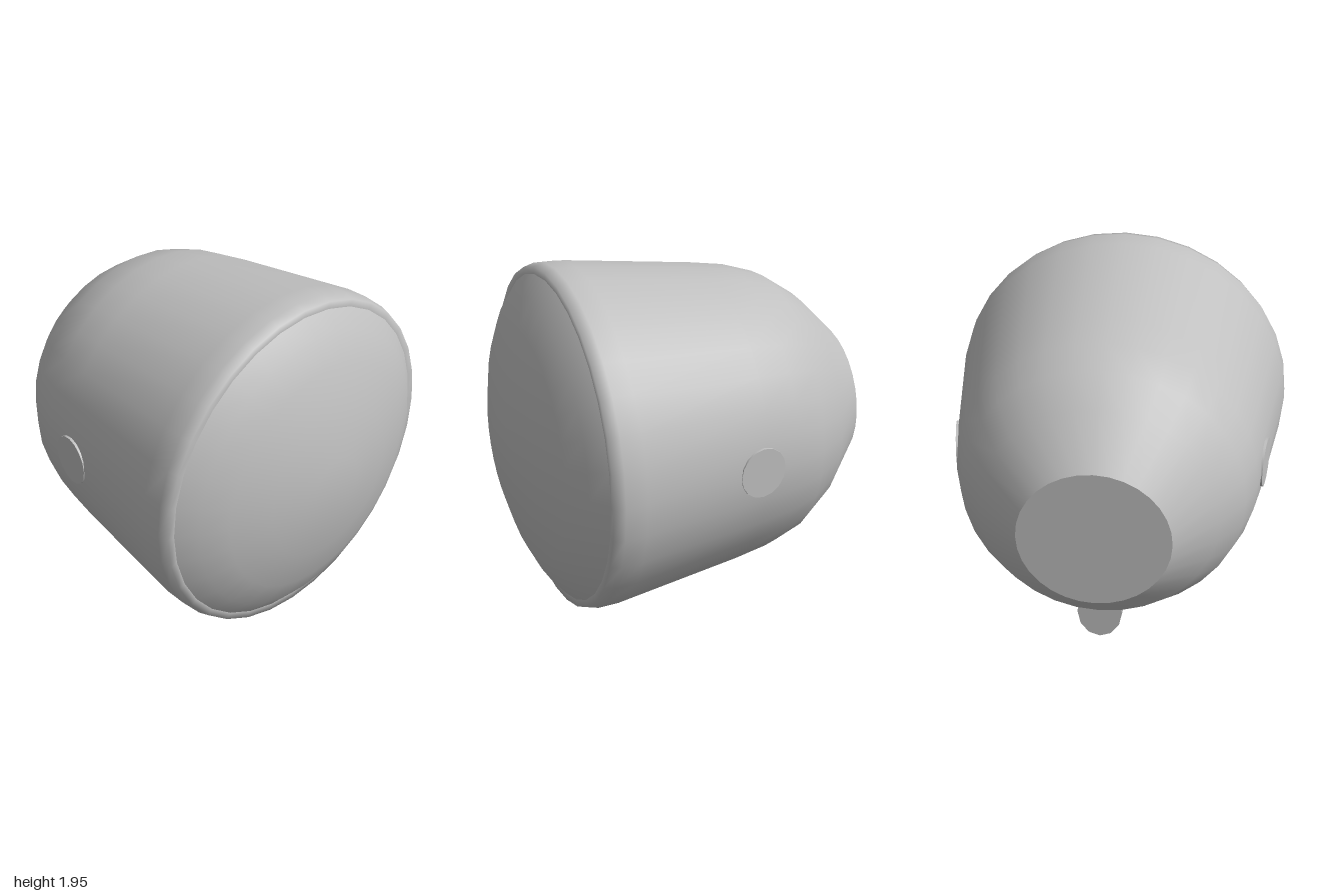
import * as THREE from 'three';

const SIDES = 32;
const AXIS_Y = 0.978;

// Turned surface around the z axis; profile is [radius, z] from back to front
function turned(profile) {
  const pts = profile.map(([r, z]) => new THREE.Vector2(r, z));
  return new THREE.LatheGeometry(pts, SIDES).rotateX(Math.PI / 2);
}

// Small pin under the tail, lofted from ellipses [z, centre y, half width, half height]
function pinGeometry() {
  const sections = [
    [-0.40, 0.24, 0.02, 0.09],
    [-0.50, 0.25, 0.07, 0.122],
    [-0.60, 0.26, 0.11, 0.17],
    [-0.67, 0.27, 0.125, 0.16],
    [-0.745, 0.30, 0.125, 0.17],
  ];
  const n = 12;
  const pos = [];
  const idx = [];
  for (const [z, cy, w, h] of sections) {
    for (let i = 0; i <= n; i++) {
      const a = (i / n) * Math.PI * 2;
      pos.push(w * Math.cos(a), cy + h * Math.sin(a), z);
    }
  }
  const row = n + 1;
  for (let s = 0; s < sections.length - 1; s++) {
    for (let i = 0; i < n; i++) {
      const p = s * row + i;
      idx.push(p, p + row, p + 1, p + 1, p + row, p + row + 1);
    }
  }
  // Flat end facing the back, with its own vertices for a sharp edge
  const [z, cy, w, h] = sections[sections.length - 1];
  const centre = pos.length / 3;
  pos.push(0, cy, z);
  for (let i = 0; i <= n; i++) {
    const a = (i / n) * Math.PI * 2;
    pos.push(w * Math.cos(a), cy + h * Math.sin(a), z);
  }
  for (let i = 1; i <= n; i++) idx.push(centre, centre + i + 1, centre + i);
  const g = new THREE.BufferGeometry();
  g.setAttribute('position', new THREE.Float32BufferAttribute(pos, 3));
  g.setIndex(idx);
  g.computeVertexNormals();
  return g;
}

export function createModel() {
  const model = new THREE.Group();
  model.name = 'roundHousing';
  const grey = new THREE.MeshStandardMaterial({ color: 0xc0c0c0 });
  grey.name = 'plain grey';

  const add = (name, geometry, y = 0) => {
    const mesh = new THREE.Mesh(geometry, grey);
    mesh.name = name;
    mesh.position.y = y;
    model.add(mesh);
    return mesh;
  };

  // Tapered shell with a rounded front rim
  add('shell', turned([
    [0.41, -1], [0.645, -0.77], [0.775, -0.58], [0.835, -0.4], [0.87, -0.2],
    [0.972, 0.54], [0.975, 0.66], [0.958, 0.72], [0.918, 0.72],
  ]), AXIS_Y);

  // Domed front
  add('frontDome', turned([
    [0.918, 0.72], [0.82, 0.8], [0.67, 0.875], [0.44, 0.95], [0.17, 1], [0, 1],
  ]), AXIS_Y);

  // Flat back
  add('backPlate', turned([[0, -1], [0.41, -1]]), AXIS_Y);

  // Flush round pads on both sides, leaning with the taper
  for (const side of [1, -1]) {
    const pad = new THREE.CylinderGeometry(0.14, 0.14, 0.06, 16);
    pad.rotateZ(-side * Math.PI / 2).rotateY(side * 0.14);
    const mesh = add(side > 0 ? 'leftPad' : 'rightPad', pad, AXIS_Y);
    mesh.position.x = side * 0.847;
    mesh.position.z = -0.16;
  }

  // Pin under the tail
  add('tailPin', pinGeometry());

  return model;
}
